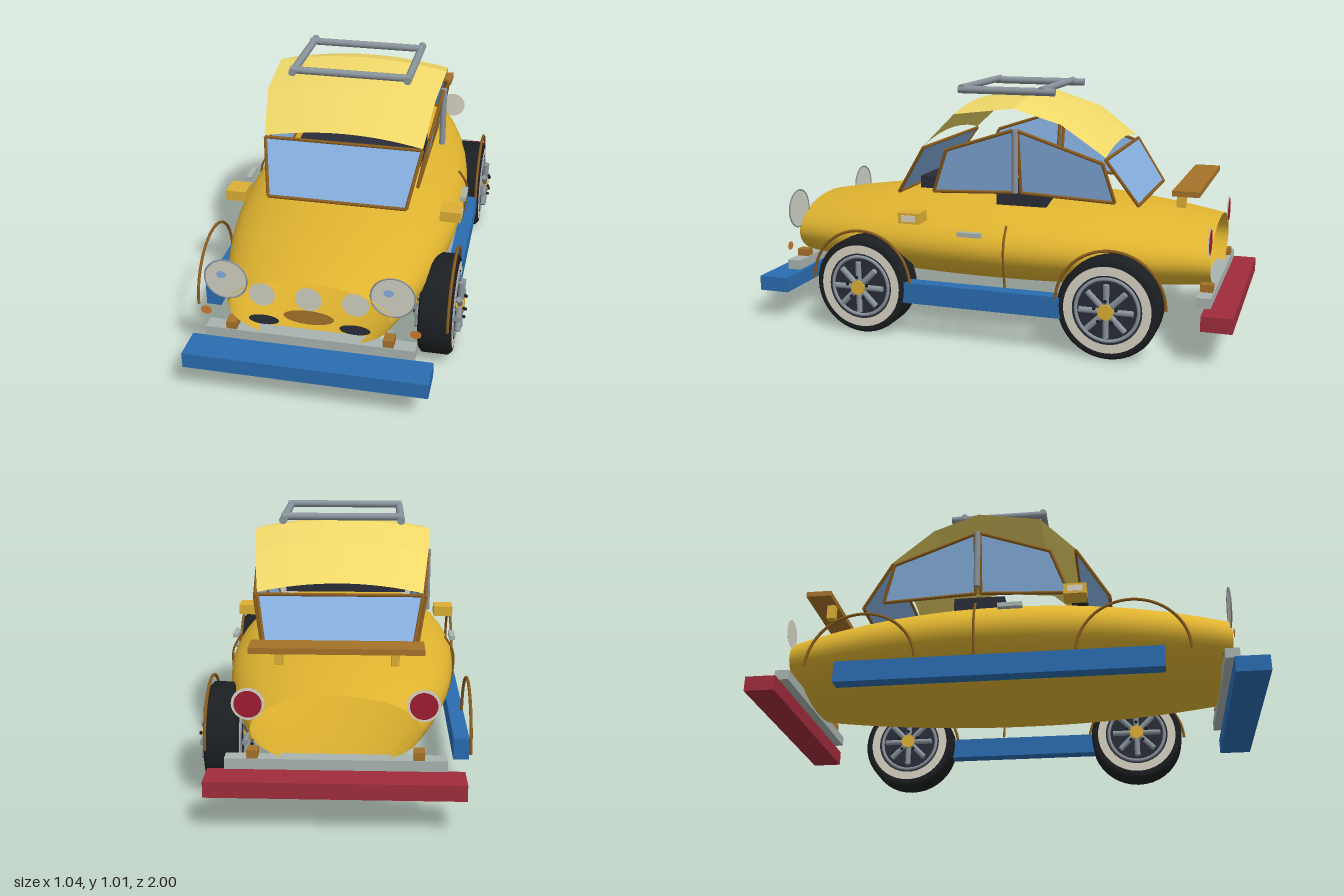
import * as THREE from 'three';

const COLORS = {
  body: 0xe0b430, roof: 0xf0d868, gold: 0xdcae34, brown: 0xa5722a, frame: 0x8a5c1e, glass: 0x86b0e0,
  blue: 0x2a6cb0, red: 0xa02c3c, chrome: 0xa8b4b0, steel: 0x8a949c, dark: 0x2a2d38, tyre: 0x1c1f22,
  white: 0xd8d4c4, lens: 0xcfd0c2, orange: 0xcc7a30, tail: 0xa01c34,
};
const V = (x, y, z) => new THREE.Vector3(x, y, z);
const UP = V(0, 1, 0);

function add(parent, name, geometry, color, pos = [0, 0, 0], double = false) {
  const material = new THREE.MeshStandardMaterial({
    color: COLORS[color], side: double ? THREE.DoubleSide : THREE.FrontSide,
  });
  const mesh = new THREE.Mesh(geometry, material);
  mesh.name = name;
  mesh.position.set(...pos);
  parent.add(mesh);
  return mesh;
}

// Box given by its ranges on each axis
function box(parent, name, color, [x0, x1], [y0, y1], [z0, z1]) {
  return add(parent, name, new THREE.BoxGeometry(Math.abs(x1 - x0), y1 - y0, z1 - z0), color,
    [(x0 + x1) / 2, (y0 + y1) / 2, (z0 + z1) / 2]);
}

// Round bar between two points
function rod(parent, name, color, a, b, r, sides = 12) {
  const mesh = add(parent, name, new THREE.CylinderGeometry(r, r, a.distanceTo(b), sides), color);
  mesh.position.copy(a).lerp(b, 0.5);
  mesh.quaternion.setFromUnitVectors(UP, b.clone().sub(a).normalize());
  return mesh;
}

// Flat disc facing along z, visible from both sides
function disc(parent, name, color, x, y, z, rx, ry = rx) {
  const mesh = add(parent, name, new THREE.CircleGeometry(1, 32), color, [x, y, z], true);
  mesh.scale.set(rx, ry, 1);
  return mesh;
}

// Surface through rows of points
function loft(rows) {
  const n = rows[0].length, index = [];
  for (let i = 0; i < rows.length - 1; i++) {
    for (let j = 0; j < n - 1; j++) {
      const a = i * n + j, b = a + n;
      index.push(a, b, a + 1, b, b + 1, a + 1);
    }
  }
  const g = new THREE.BufferGeometry().setFromPoints(rows.flat());
  g.setIndex(index);
  g.computeVertexNormals();
  return g;
}

// Four-cornered pane with a round-bar frame
function framedPane(parent, name, p) {
  const group = new THREE.Group();
  group.name = name;
  parent.add(group);
  add(group, 'glass', loft([[p[0], p[1]], [p[3], p[2]]]), 'glass', [0, 0, 0], true);
  p.forEach((a, i) => rod(group, 'frame', 'frame', a, p[(i + 1) % 4], 0.007, 8));
}

function bodyShell() {
  // Barrel of elliptical sections, open at both ends
  const rows = [];
  for (let i = 0; i <= 28; i++) {
    const t = -1 + i / 14, f = 1 - Math.pow(Math.abs(t), 2.1);
    const w = 0.305 + 0.16 * f, h = 0.132 + 0.058 * f, cy = 0.353 + 0.021 * f;
    const row = [];
    for (let j = 0; j <= 48; j++) {
      const a = -j / 48 * Math.PI * 2;
      row.push(V(w * Math.sin(a), cy - h * Math.cos(a), t * 0.89));
    }
    rows.push(row);
  }
  return loft(rows);
}

function wheel(parent, name, z) {
  const group = new THREE.Group();
  group.name = name;
  group.position.set(0.438, 0.2, z);
  parent.add(group);
  const profile = [[0.13, -0.06], [0.185, -0.065], [0.2, -0.052], [0.2, 0.052], [0.185, 0.065], [0.13, 0.06]];
  const tyre = new THREE.LatheGeometry(profile.map(([r, y]) => new THREE.Vector2(r, y)), 40);
  add(group, 'tyre', tyre.rotateZ(-Math.PI / 2), 'tyre', [0, 0, 0], true);
  add(group, 'wheelDisc', new THREE.CylinderGeometry(0.145, 0.145, 0.126, 40).rotateZ(Math.PI / 2), 'dark');
  // Both faces carry the same trim
  for (const s of [1, -1]) {
    add(group, 'whitewall', new THREE.RingGeometry(0.137, 0.172, 40).rotateY(Math.PI / 2), 'white', [s * 0.0665, 0, 0], true);
    add(group, 'rimRing', new THREE.TorusGeometry(0.123, 0.007, 8, 40).rotateY(Math.PI / 2), 'steel', [s * 0.064, 0, 0]);
    for (let i = 0; i < 8; i++) {
      const a = i * Math.PI / 4, c = Math.cos(a), d = Math.sin(a);
      rod(group, 'spoke', 'steel', V(s * 0.08, c * 0.02, d * 0.02), V(s * 0.08, c * 0.105, d * 0.105), 0.012, 8);
    }
    add(group, 'hub', new THREE.CylinderGeometry(0.03, 0.03, 0.03, 20).rotateZ(Math.PI / 2), 'gold', [s * 0.08, 0, 0]);
    for (let i = 0; i < 5; i++) {
      const a = i * Math.PI * 0.4;
      add(group, 'bolt', new THREE.SphereGeometry(0.007, 8, 6), 'tyre',
        [s * 0.098, 0.045 * Math.cos(a), 0.045 * Math.sin(a)]);
    }
  }
}

export function createModel() {
  const model = new THREE.Group();
  model.name = 'car';
  const car = new THREE.Group();
  car.name = 'carAssembly';
  car.position.x = -0.0225;
  model.add(car);

  add(car, 'body', bodyShell(), 'body', [0, 0, 0], true);

  // Roof: crowned strips between stations [z, centre height, half width]
  const stations = [[0.29, 0.8, 0.322], [0.145, 0.94, 0.345], [-0.11, 0.973, 0.358], [-0.3, 0.915, 0.343], [-0.475, 0.79, 0.318]];
  const roofRow = ([z, y, w]) => Array.from({ length: 17 }, (_, j) => {
    const u = j / 8 - 1;
    return V(u * w, y - 0.036 * u * u, z);
  });
  for (let i = 0; i < 4; i++) {
    add(car, 'roofPanel', loft([roofRow(stations[i + 1]), roofRow(stations[i])]), 'roof', [0, 0, 0], true);
  }

  // Windscreens
  framedPane(car, 'windscreen', [V(-0.28, 0.56, 0.42), V(0.28, 0.56, 0.42), V(0.32, 0.758, 0.29), V(-0.32, 0.758, 0.29)]);
  framedPane(car, 'rearWindow', [V(0.28, 0.565, -0.6), V(-0.28, 0.565, -0.6), V(-0.318, 0.745, -0.475), V(0.318, 0.745, -0.475)]);

  // Interior
  box(car, 'dashboard', 'dark', [-0.27, 0.27], [0.58, 0.63], [0.26, 0.325]);
  box(car, 'seat', 'dark', [-0.272, 0.272], [0.53, 0.59], [-0.22, -0.01]);

  // Bumpers
  box(car, 'frontBumper', 'blue', [-0.4625, 0.4625], [0.125, 0.187], [0.87, 1]);
  box(car, 'rearBumper', 'red', [-0.4625, 0.4625], [0.14, 0.2], [-1, -0.88]);
  for (const [name, z] of [['front', 0.872], ['rear', -0.88]]) {
    box(car, name + 'ChromeBar', 'chrome', [-0.397, 0.397], [0.21, 0.25], [z - 0.028, z + 0.028]);
    for (const s of [1, -1]) {
      box(car, name + 'Overrider', 'brown', [s * 0.277, s * 0.317], [0.25, 0.28], [z - 0.025, z + 0.025]);
    }
  }

  // Nose
  for (const x of [-0.175, 0, 0.175]) disc(car, 'fogLamp', 'lens', x, 0.414, 0.887, 0.05);
  disc(car, 'noseBadge', 'brown', 0, 0.336, 0.889, 0.095, 0.03);

  // Rear spoiler
  box(car, 'spoiler', 'brown', [-0.312, 0.312], [0.618, 0.64], [-0.84, -0.735]);

  // Roof rack
  for (const z of [-0.19, 0.15]) rod(car, 'rackCrossbar', 'steel', V(-0.246, 1.0, z), V(0.246, 1.0, z), 0.015);

  // Parts on both sides
  for (const s of [1, -1]) {
    box(car, 'sill', 'blue', [s * 0.4375, s * 0.4975], [0.145, 0.23], [-0.64, 0.617]);
    for (const z of [0.502, -0.54]) {
      add(car, 'wheelArch', new THREE.TorusGeometry(0.215, 0.006, 8, 32, Math.PI).rotateY(Math.PI / 2), 'frame', [s * 0.492, 0.215, z]);
    }
    // Door seam bowed around the flank
    const seam = new THREE.CatmullRomCurve3([V(s * 0.43, 0.48, -0.105), V(s * 0.465, 0.42, -0.105), V(s * 0.47, 0.35, -0.105), V(s * 0.45, 0.235, -0.105)]);
    add(car, 'doorSeam', new THREE.TubeGeometry(seam, 16, 0.005, 6), 'frame');
    box(car, 'doorHandle', 'chrome', [s * 0.458, s * 0.482], [0.435, 0.453], [-0.012, 0.085]);
    box(car, 'sideMirror', 'gold', [s * 0.403, s * 0.487], [0.473, 0.517], [0.245, 0.335]);
    box(car, 'mirrorPlate', 'white', [s * 0.485, s * 0.489], [0.482, 0.508], [0.26, 0.32]);

    // Side windows lean outward towards the roof
    const w = (z, y) => V(s * (0.3 + (y - 0.57) * 0.175), y, z);
    framedPane(car, 'frontSideWindow', [w(0.255, 0.575), w(0.185, 0.755), w(-0.105, 0.85), w(-0.105, 0.592)]);
    framedPane(car, 'rearSideWindow', [w(-0.125, 0.592), w(-0.125, 0.848), w(-0.465, 0.732), w(-0.51, 0.575)]);
    rod(car, 'doorPillar', 'steel', V(s * 0.35, 0.6, -0.115), V(s * 0.35, 0.855, -0.115), 0.013);

    // Lamps
    disc(car, 'headlamp', 'lens', s * 0.31, 0.461, 0.885, 0.08);
    add(car, 'headlampRim', new THREE.TorusGeometry(0.081, 0.003, 6, 40), 'steel', [s * 0.31, 0.461, 0.885]);
    disc(car, 'headlampGlint', 'glass', s * 0.31 - 0.015, 0.481, 0.889, 0.019, 0.015);
    disc(car, 'grilleIntake', 'dark', s * 0.172, 0.303, 0.887, 0.058, 0.021);
    disc(car, 'indicator', 'orange', s * 0.395, 0.314, 0.885, 0.021, 0.018);
    disc(car, 'tailLampRim', 'white', s * 0.31, 0.448, -0.885, 0.06);
    disc(car, 'tailLamp', 'tail', s * 0.31, 0.448, -0.889, 0.05);

    box(car, 'spoilerPost', 'gold', [s * 0.195, s * 0.225], [0.557, 0.618], [-0.775, -0.74]);
    rod(car, 'rackRail', 'steel', V(s * 0.235, 0.993, -0.245), V(s * 0.235, 0.993, 0.165), 0.016);
  }

  // Wheels on the left side only
  wheel(car, 'frontWheel', 0.502);
  wheel(car, 'rearWheel', -0.532);
  return model;
}
